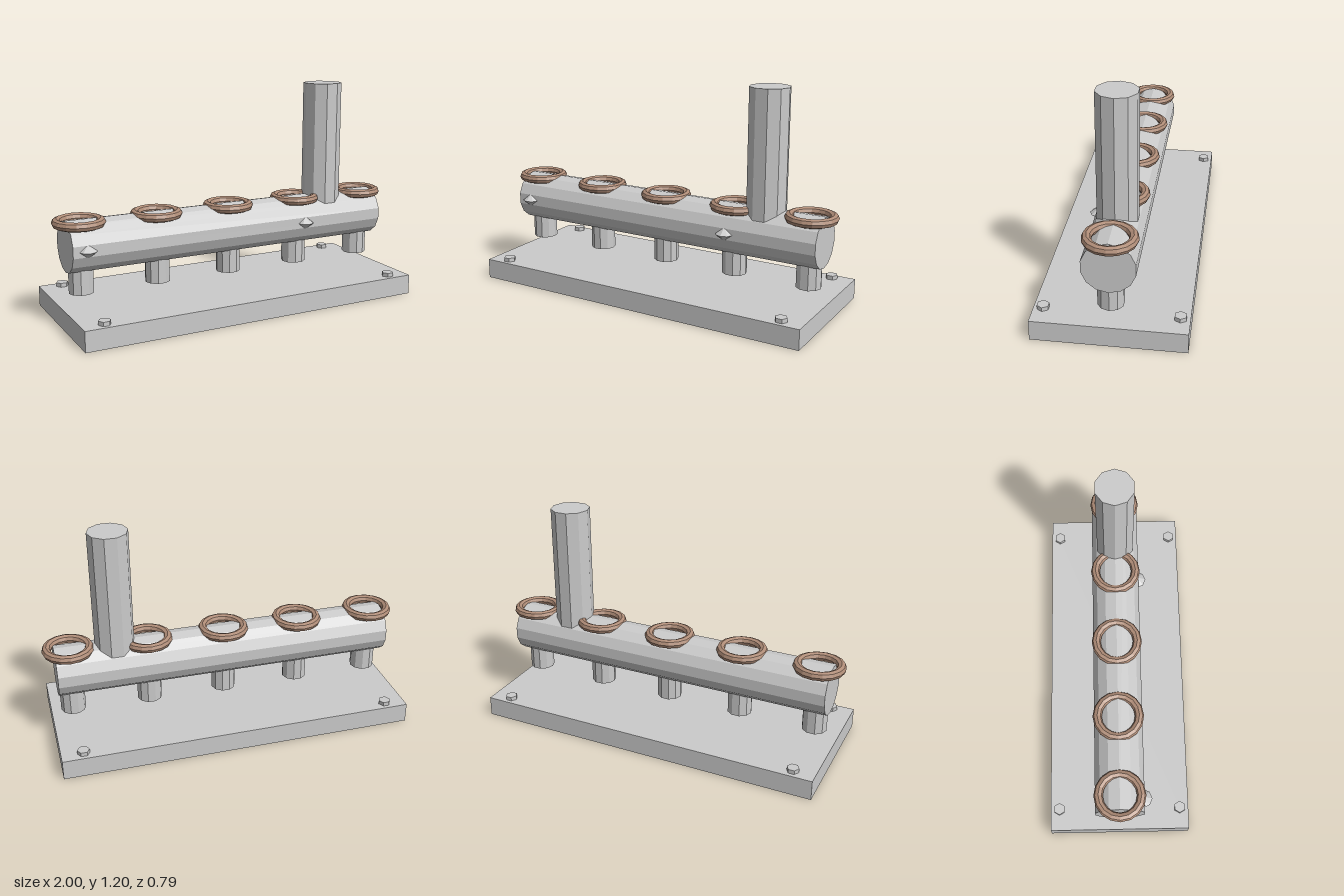
import * as THREE from 'three';

const grey = new THREE.MeshStandardMaterial({ color: 0xcccccc, flatShading: true });
const copper = new THREE.MeshStandardMaterial({ color: 0xb08d78, flatShading: true });

export function createModel() {
  const model = new THREE.Group();

  const add = (name, geometry, x, y, z, material = grey) => {
    const mesh = new THREE.Mesh(geometry, material);
    mesh.name = name;
    mesh.position.set(x, y, z);
    model.add(mesh);
    return mesh;
  };
  // upright prism with a corner towards +x
  const column = (radius, height, sides) =>
    new THREE.CylinderGeometry(radius, radius, height, sides).rotateY(Math.PI / 2);

  // base plate with a hex bolt in each corner
  add('basePlate', new THREE.BoxGeometry(1.95, 0.11, 0.785), 0, 0.055, 0);
  const bolt = column(0.033, 0.04, 6);
  for (const x of [-0.857, 0.857])
    for (const z of [-0.343, 0.343]) add('bolt', bolt, x, 0.112, z);

  // horizontal drum, a corner line at top and bottom
  const drum = new THREE.CylinderGeometry(0.137, 0.137, 1.874, 14)
    .rotateY(Math.PI / 2).rotateZ(Math.PI / 2);
  add('drum', drum, 0, 0.426, 0);

  // outlet stubs below the drum and rings on top of it
  const stub = column(0.068, 0.2, 10);
  const ring = new THREE.TorusGeometry(0.115, 0.025, 8, 16).rotateX(Math.PI / 2);
  for (let i = -2; i <= 2; i++) {
    add('outletStub', stub, i * 0.429, 0.275, 0);
    add('ring', ring, i * 0.43, 0.549, 0, copper);
  }

  // chimney rising out of the drum
  add('chimney', column(0.108, 0.75, 10), 0.609, 0.825, 0);

  // faceted studs on the front of the drum
  const stud = new THREE.SphereGeometry(0.05, 8, 2).scale(1, 0.76, 1);
  for (const x of [-0.857, 0.429]) add('stud', stud, x, 0.425, 0.126);

  return model;
}
